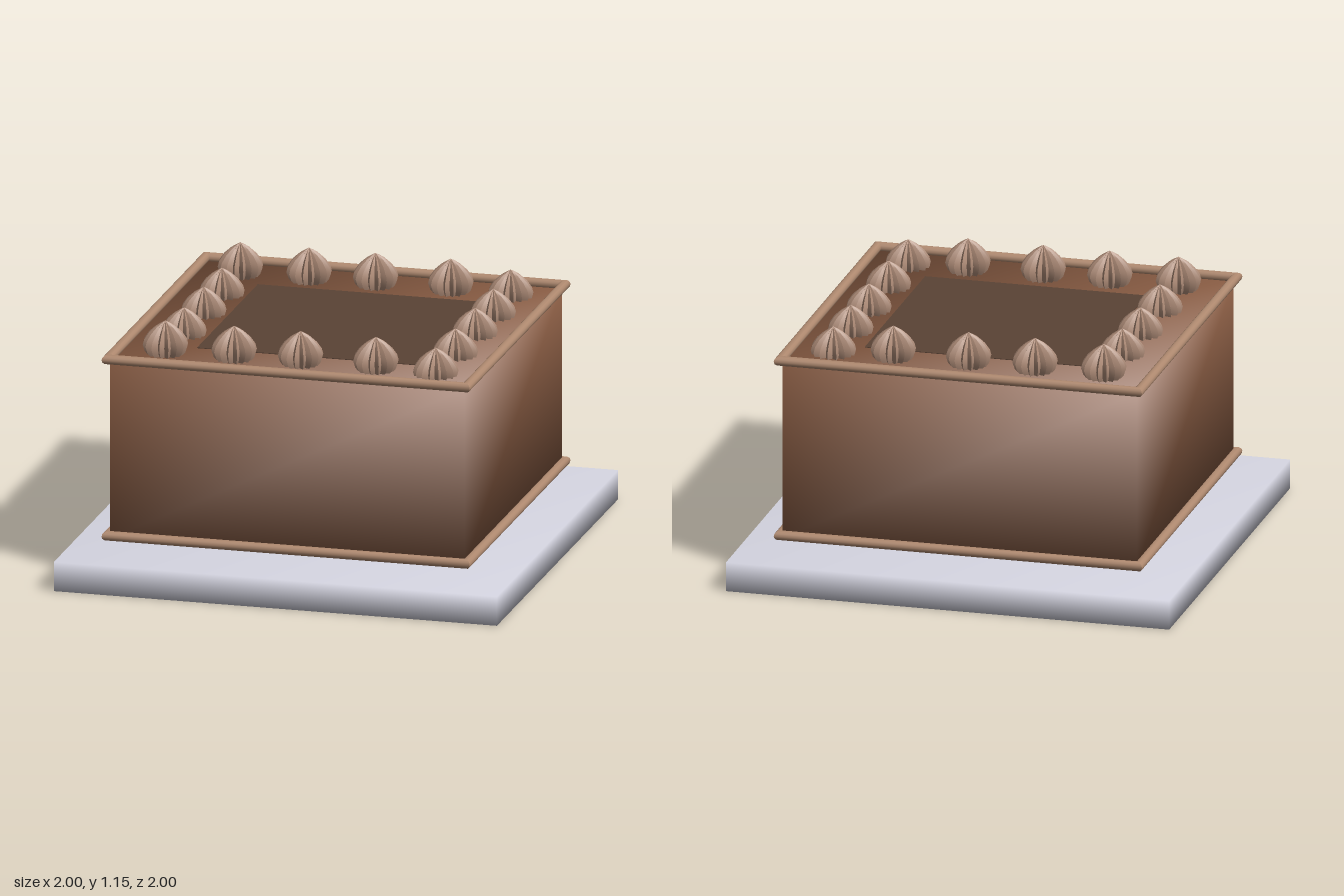
import * as THREE from 'three';
import { mergeVertices, toCreasedNormals } from 'three/addons/utils/BufferGeometryUtils.js';

const material = (color) => new THREE.MeshStandardMaterial({ color });

// Box with normals shared across its edges, for a soft look
function softBox(w, h, d) {
  const box = new THREE.BoxGeometry(w, h, d);
  box.deleteAttribute('normal');
  box.deleteAttribute('uv');
  const soft = mergeVertices(box);
  soft.computeVertexNormals();
  return soft;
}

// Square piped border with mitred corners: a four-sided torus turned flat
function squareTrim(half, radius) {
  const g = new THREE.TorusGeometry(half * Math.SQRT2, radius * Math.SQRT2, 12, 4);
  g.rotateZ(Math.PI / 4);
  g.scale(1, 1, Math.SQRT1_2);
  g.rotateX(Math.PI / 2);
  return toCreasedNormals(g, Math.PI / 4);
}

// Onion-shaped dollop of cream with star-shaped flutes
function dollopGeometry() {
  const flutes = 16;
  const profile = [[0, 0], [0.065, 0], [0.09, 0.03], [0.1, 0.06], [0.093, 0.085],
    [0.072, 0.115], [0.042, 0.142], [0.018, 0.157], [0, 0.167]]
    .map(([r, y]) => new THREE.Vector2(r, y));
  const g = new THREE.LatheGeometry(profile, flutes * 2);
  const p = g.attributes.position;
  for (let i = 0; i < p.count; i++) {
    const segment = Math.floor(i / profile.length);
    const k = segment % 2 ? 0.74 : 1;
    p.setXYZ(i, p.getX(i) * k, p.getY(i), p.getZ(i) * k);
  }
  return toCreasedNormals(g, Math.PI / 5);
}

export function createModel() {
  const group = new THREE.Group();
  const add = (name, geometry, mat, x, y, z) => {
    const mesh = new THREE.Mesh(geometry, mat);
    mesh.name = name;
    mesh.position.set(x, y, z);
    group.add(mesh);
  };

  // Board and cake, with a small gap between them
  add('board', softBox(2, 0.132, 2), material(0xd6d6e2), 0, 0.066, 0);
  add('cakeBody', softBox(1.6, 0.8, 1.6), material(0x8a5d44), 0, 0.6, 0);
  add('topPanel', new THREE.BoxGeometry(1, 0.02, 1), material(0x5a4335), 0.01, 0.993, 0);

  // Borders around the bottom and top edges
  const trim = squareTrim(0.809, 0.022);
  const trimMaterial = material(0xb08a70);
  add('bottomTrim', trim, trimMaterial, 0, 0.212, 0);
  add('topTrim', trim, trimMaterial, 0, 1.013, 0);

  // Ring of dollops: front and back rows, then the sides
  const dollop = dollopGeometry();
  const cream = material(0xac8a76);
  const high = 0.985, low = 0.957;
  const spots = [];
  [-0.6, -0.29, 0.01, 0.35, 0.62].forEach((x, i) => {
    const y = i === 4 ? low : high;
    spots.push([x, y, -0.615], [x, y, 0.62]);
  });
  for (const z of [-0.31, -0.01, 0.315]) spots.push([-0.6, low, z], [0.625, low, z]);
  for (const [x, y, z] of spots) add('creamDollop', dollop, cream, x, y, z);

  return group;
}
